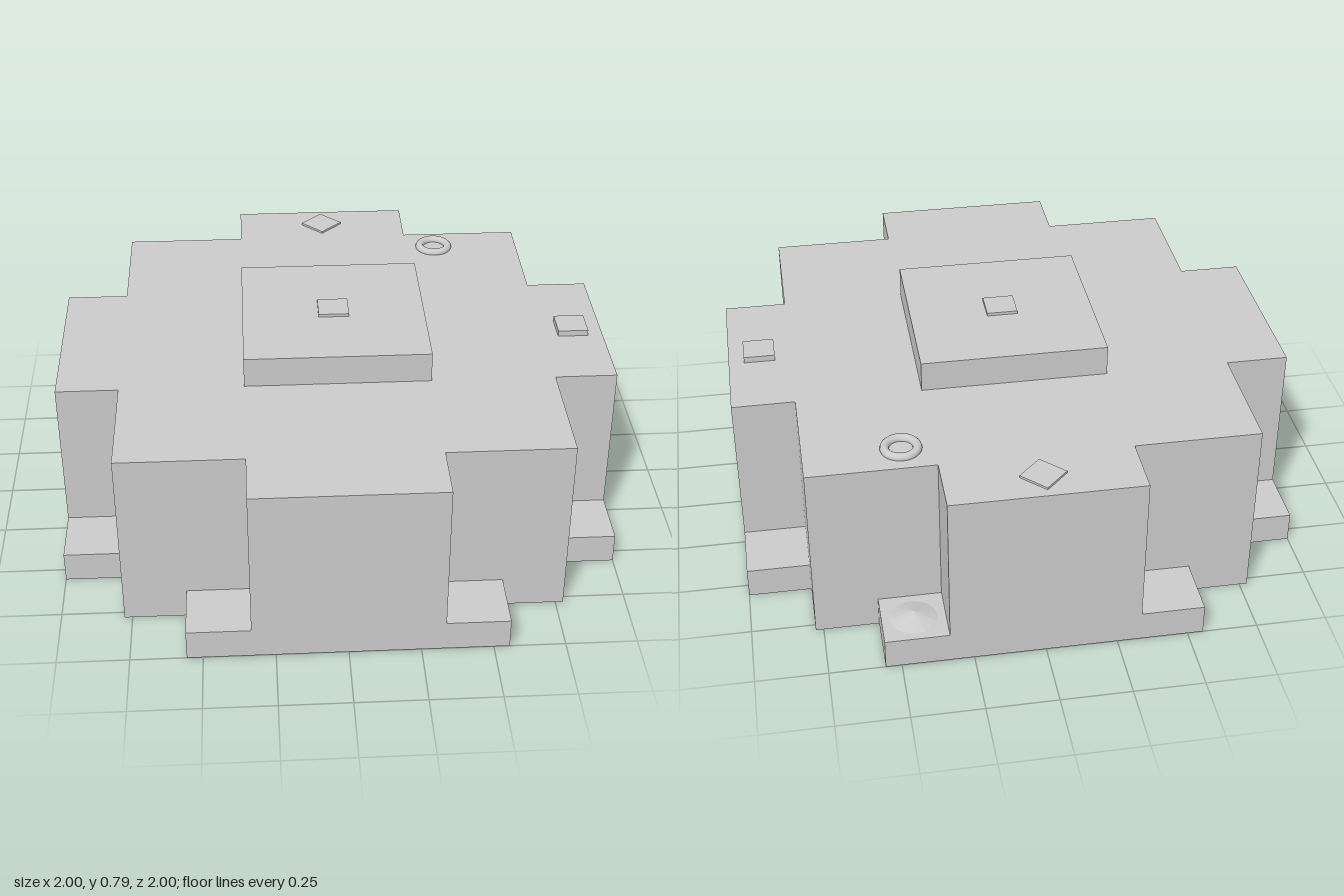
import * as THREE from 'three';

const U = 1 / 9; // building module
const material = new THREE.MeshStandardMaterial({ color: 0xcccccc, flatShading: true });
const smooth = new THREE.MeshStandardMaterial({ color: 0xcccccc });

function add(parent, name, geometry, x, y, z, mat = material) {
  const mesh = new THREE.Mesh(geometry, mat);
  mesh.name = name;
  mesh.position.set(x, y, z);
  parent.add(mesh);
  return mesh;
}

// Box in modules: centre x/z, bottom y, size
function block(parent, name, x, y, z, w, h, d) {
  return add(parent, name, new THREE.BoxGeometry(w * U, h * U, d * U), x * U, (y + h / 2) * U, z * U);
}

// Stepped cross outline, one quarter repeated four times
function crossShape() {
  const quarter = [[9, -3], [9, 3], [7, 3], [7, 7], [3, 7]];
  const points = [];
  for (let i = 0; i < 4; i++) {
    for (const [x, y] of quarter) {
      const p = new THREE.Vector2(x * U, y * U);
      for (let k = 0; k < i; k++) p.set(-p.y, p.x);
      points.push(p);
    }
  }
  return new THREE.Shape(points);
}

export function createModel() {
  const model = new THREE.Group();
  model.name = 'steppedPavilion';

  // Four identical sides: footing, wall, corner post and the two raised shoulders beside it
  for (let i = 0; i < 4; i++) {
    const side = new THREE.Group();
    side.name = 'side';
    side.rotation.y = i * Math.PI / 2;
    block(side, 'footing', 0, 0, 8, 10, 1, 2);
    block(side, 'wall', 0, 1, 8, 6, 4, 2);
    block(side, 'cornerPost', 6, 0, 6, 2, 5, 2);
    block(side, 'shoulder', 4, 1, 6, 2, 4, 2);
    block(side, 'shoulder', -4, 1, 6, 2, 4, 2);
    model.add(side);
  }

  // Roof slab with a square opening
  const roofShape = crossShape();
  const s = 3 * U;
  roofShape.holes.push(new THREE.Path([
    new THREE.Vector2(-s, -s), new THREE.Vector2(-s, s),
    new THREE.Vector2(s, s), new THREE.Vector2(s, -s),
  ]));
  const roof = new THREE.ExtrudeGeometry(roofShape, { depth: U, bevelEnabled: false });
  roof.rotateX(-Math.PI / 2);
  add(model, 'roofSlab', roof, 0, 5 * U, 0);

  // Raised plate over the opening, with its small centre tile
  block(model, 'roofPlate', 0, 6, 0, 6, 1, 6);
  block(model, 'centreTile', 0, 7, 0, 1, 0.1, 1);

  // Small roof and footing details
  block(model, 'sideTile', 8, 6, 0, 1, 0.2, 1);
  add(model, 'diamondTile', new THREE.CylinderGeometry(0.08, 0.08, 0.008, 4), 0, 6 * U + 0.004, -8 * U);
  const ring = new THREE.TorusGeometry(0.056, 0.016, 12, 32);
  ring.rotateX(Math.PI / 2);
  add(model, 'ring', ring, 4 * U, 6 * U + 0.004, -6 * U, smooth);
  add(model, 'cone', new THREE.ConeGeometry(0.083, 0.028, 16), 4 * U, U + 0.014, -8 * U);

  return model;
}
